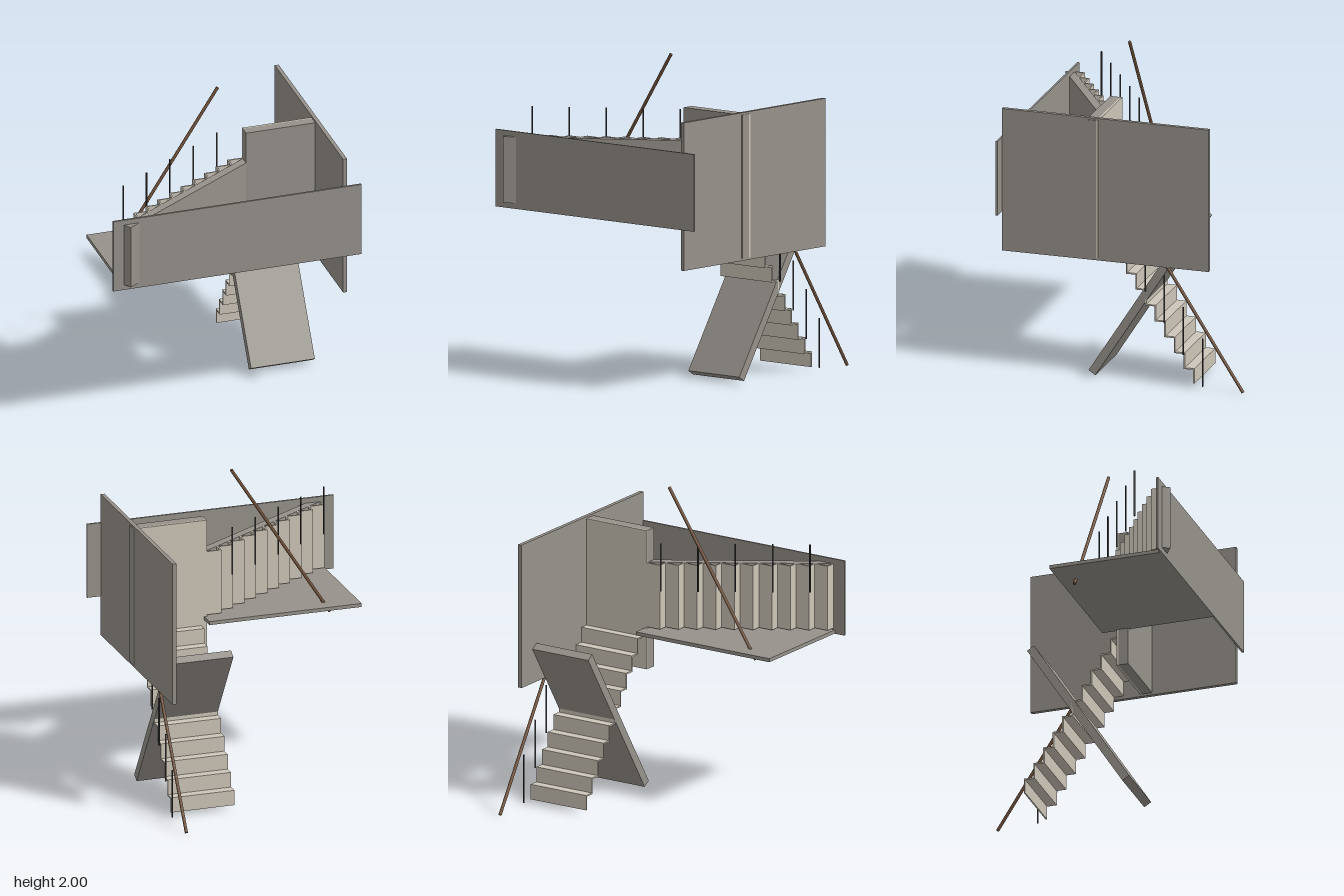
import * as THREE from 'three';

const mat = (color) => new THREE.MeshStandardMaterial({ color, flatShading: true });
const TILT = 0.567; // pitch shared by the sloped slabs and rails

export function createModel() {
  const model = new THREE.Group();
  const concrete = mat(0x96918a), tread = mat(0xcdc5b8), wood = mat(0x72533c), metal = mat(0x3a3a3a);

  const add = (name, geometry, material, x, y, z) => {
    const mesh = new THREE.Mesh(geometry, material);
    mesh.name = name;
    mesh.position.set(x, y, z);
    model.add(mesh);
    return mesh;
  };
  // Box given by its lower and upper limits on each axis
  const block = (name, material, [x0, x1], [y0, y1], [z0, z1]) =>
    add(name, new THREE.BoxGeometry(x1 - x0, y1 - y0, z1 - z0), material,
      (x0 + x1) / 2, (y0 + y1) / 2, (z0 + z1) / 2);

  // Thin folded strip of ten risers and treads
  const stairs = (run, rise, width, t = 0.009, n = 10) => {
    const outer = [], inner = [];
    for (let i = 0; i < n; i++) {
      outer.push([i * run, i * rise], [i * run, (i + 1) * rise]);
      inner.push([i * run + t, i ? i * rise - t : 0], [i * run + t, (i + 1) * rise - t]);
    }
    outer.push([n * run, n * rise]);
    inner.push([n * run, n * rise - t]);
    const points = [...outer, ...inner.reverse()].map(([u, v]) => new THREE.Vector2(u, v));
    return new THREE.ExtrudeGeometry(new THREE.Shape(points), { depth: width, bevelEnabled: false });
  };

  // Round bar between two points
  const bar = (name, material, radius, a, b) => {
    const from = new THREE.Vector3(...a), to = new THREE.Vector3(...b);
    const dir = to.clone().sub(from);
    const mid = from.clone().add(to).multiplyScalar(0.5);
    const mesh = add(name, new THREE.CylinderGeometry(radius, radius, dir.length(), 12), material, mid.x, mid.y, mid.z);
    mesh.quaternion.setFromUnitVectors(new THREE.Vector3(0, 1, 0), dir.normalize());
  };

  // Walls, floor plate and upright landing with its facing
  block('frontWall', concrete, [-0.81, 0.805], [1.03, 1.513], [0.752, 0.765]);
  block('sideWall', concrete, [0.69, 0.715], [0.775, 1.7], [-0.59, 0.754]);
  block('floorPlate', concrete, [-0.74, 0.257], [1.032, 1.055], [0.03, 0.753]);
  block('landing', concrete, [0.24, 0.72], [0.79, 1.687], [0.14, 0.205]);
  block('landingFacing', tread, [0.24, 0.72], [0.79, 1.687], [0.127, 0.14]);

  // Upper flight lying on its side, and its backing slab
  add('upperStairs', stairs(0.0968, 0.0625, 0.415), tread, -0.728, 1.065, 0.752).rotation.x = -Math.PI / 2;
  add('upperSlab', new THREE.BoxGeometry(1.16, 0.415, 0.053), concrete, -0.236, 1.2725, 0.476).rotation.y = TILT;

  // Lower steep flight, and the slab crossing it
  add('lowerStairs', stairs(0.0625, 0.0968, 0.415), tread, 0.69, 0.03, -0.49).rotation.y = -Math.PI / 2;
  add('lowerSlab', new THREE.BoxGeometry(0.415, 1.16, 0.053), concrete, 0.4825, 0.52, -0.135).rotation.x = -TILT;

  // Balusters beside both flights
  for (let i = 0; i < 5; i++) {
    const x = -0.68 + i * 0.1938, z = 0.565 - i * 0.125;
    bar('upperBaluster', metal, 0.005, [x, 1.335, z], [x, 1.645, z]);
    const y = 0.02 + i * 0.1938, lz = -0.547 + i * 0.1245;
    bar('lowerBaluster', metal, 0.005, [0.702, y, lz], [0.702, y + 0.31, lz]);
  }

  // Handrails
  bar('upperHandrail', wood, 0.01, [-0.567, 0.99, 0.133], [0.078, 1.996, 0.133]);
  bar('lowerHandrail', wood, 0.01, [0.702, 0.008, -0.81], [0.702, 1.014, -0.165]);

  return model;
}
